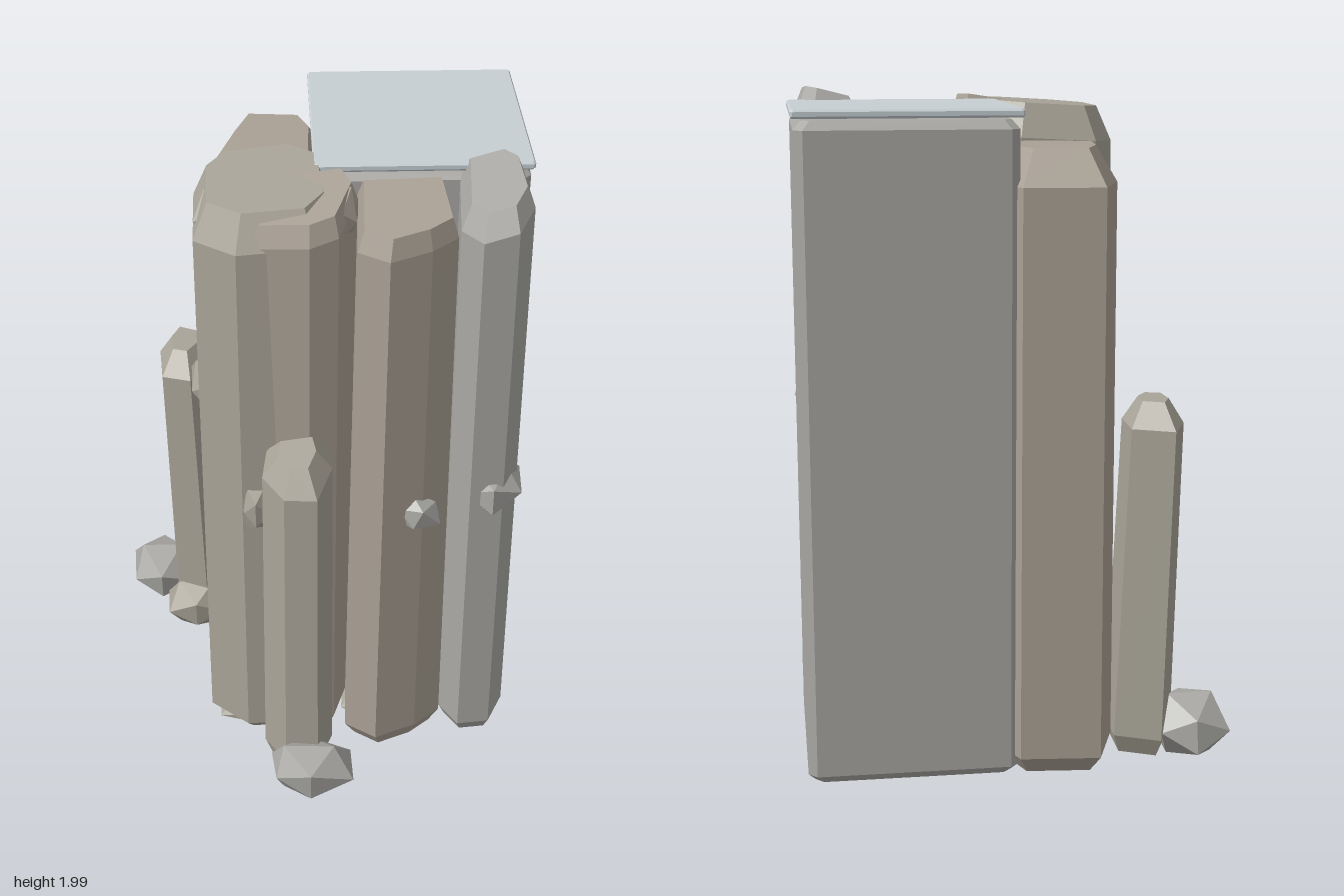
import * as THREE from 'three';
import { ConvexGeometry } from 'three/addons/geometries/ConvexGeometry.js';

const ROCK = 0xa9a498, WARM = 0xaaa195, GREY = 0xa9a8a4, GLASS = 0xc6cfd3;

function addMesh(group, name, geometry, color) {
  const material = new THREE.MeshStandardMaterial({ flatShading: true });
  material.color.set(color);
  const mesh = new THREE.Mesh(geometry, material);
  mesh.name = name;
  group.add(mesh);
  return mesh;
}

// Faceted prism: an [x, z] outline with chamfered ends; the top may lean, shrink and tilt.
function prism(outline, y0, y1, o = {}) {
  const { bevelTop = 0.08, bevelBase = 0.06, insetTop = 0.75, insetBase = 0.8,
    taper = 0.96, lean = [0, 0], tilt = [0, 0] } = o;
  const n = outline.length;
  const cx = outline.reduce((s, p) => s + p[0], 0) / n;
  const cz = outline.reduce((s, p) => s + p[1], 0) / n;
  const points = [];
  const ring = (y, scale, shift, slope) => {
    for (const [x, z] of outline) {
      const dx = (x - cx) * scale, dz = (z - cz) * scale;
      points.push(new THREE.Vector3(cx + dx + lean[0] * shift,
        y + (dx * tilt[0] + dz * tilt[1]) * slope, cz + dz + lean[1] * shift));
    }
  };
  ring(y0, insetBase, 0, 0);
  ring(y0 + bevelBase, 1, 0, 0);
  ring(y1 - bevelTop, taper, 1, 1);
  ring(y1, insetTop, 1, 1);
  return new ConvexGeometry(points);
}

// Chamfered square outline
function square(x0, x1, z0, z1, c) {
  return [[x0 + c, z0], [x1 - c, z0], [x1, z0 + c], [x1, z1 - c],
    [x1 - c, z1], [x0 + c, z1], [x0, z1 - c], [x0, z0 + c]];
}

// Irregular low-poly boulder
function boulder(group, name, position, size, seed, color = ROCK, turn = [0, 0, 0]) {
  const geometry = new THREE.IcosahedronGeometry(1, 0);
  const p = geometry.attributes.position, v = new THREE.Vector3();
  for (let i = 0; i < p.count; i++) {
    v.fromBufferAttribute(p, i);
    const k = 1 + 0.13 * Math.sin(seed * 7 + v.x * 5 + v.y * 11 + v.z * 17);
    v.multiplyScalar(k);
    p.setXYZ(i, v.x * size[0], v.y * size[1], v.z * size[2]);
  }
  geometry.computeVertexNormals();
  const mesh = addMesh(group, name, geometry, color);
  mesh.position.set(...position);
  mesh.rotation.set(...turn);
}

export function createModel() {
  const model = new THREE.Group();
  model.name = 'rockPillar';

  // Square core block and the thin slab lying on it
  addMesh(model, 'coreBlock', prism(square(0.01, 0.618, -0.605, 0.01, 0.025), 0.055, 1.93,
    { bevelTop: 0.025, bevelBase: 0.025, taper: 1, insetTop: 0.93, insetBase: 0.93 }), GREY);
  addMesh(model, 'topSlab', prism(square(0, 0.625, -0.612, 0.017, 0.006), 1.936, 1.96,
    { bevelTop: 0.006, bevelBase: 0.006, taper: 1, insetTop: 0.985, insetBase: 0.985 }), GLASS);

  // Tall and short stone columns: name, outline, base, top, shape, colour
  const columns = [
    ['backLeftColumn', [[-0.22, -0.645], [0.01, -0.625], [0.06, -0.5], [0.05, -0.22], [-0.02, -0.155],
      [-0.19, -0.17], [-0.31, -0.22], [-0.285, -0.46]], 0.05, 1.85,
    { taper: 0.98, insetTop: 0.65, bevelTop: 0.1 }, WARM],
    ['leftColumn', [[-0.345, -0.06], [-0.28, -0.16], [-0.05, -0.185], [0.05, -0.1], [0.07, 0.2],
      [0.0, 0.31], [-0.22, 0.32], [-0.34, 0.22]], 0.03, 1.95,
    { taper: 0.98, insetTop: 0.78, bevelTop: 0.1, tilt: [0.06, 0] }, ROCK],
    ['middleColumn', [[-0.14, 0.02], [0.09, 0.03], [0.12, 0.12], [0.06, 0.3], [-0.02, 0.33],
      [-0.18, 0.29]], 0.04, 1.95,
    { lean: [0, 0.01], taper: 1, insetTop: 0.85, bevelTop: 0.06, tilt: [0.15, -0.08] }, WARM],
    ['frontColumn', [[0.11, 0.0], [0.39, 0.0], [0.405, 0.28], [0.32, 0.35], [0.19, 0.405],
      [0.095, 0.34]], 0.04, 1.915,
    { taper: 0.9, insetTop: 0.78, bevelTop: 0.06, lean: [0, -0.02], tilt: [0.03, -0.04] }, WARM],
    ['frontLeftColumn', [[0.43, -0.04], [0.56, -0.05], [0.605, 0.02], [0.615, 0.24], [0.56, 0.35],
      [0.46, 0.36], [0.405, 0.27]], 0.05, 1.975,
    { taper: 0.96, insetTop: 0.72, bevelTop: 0.06, lean: [-0.015, -0.01], tilt: [0.25, -0.08] }, GREY],
    ['shortFrontColumn', [[-0.15, 0.3], [0.03, 0.29], [0.05, 0.4], [0.0, 0.525], [-0.1, 0.51],
      [-0.165, 0.41]], 0.05, 1.25,
    { taper: 0.94, insetTop: 0.5, bevelTop: 0.07, tilt: [0.1, -0.2] }, ROCK],
    ['shortLeftColumn', [[-0.42, -0.55], [-0.29, -0.49], [-0.29, -0.33], [-0.36, -0.22], [-0.46, -0.25],
      [-0.475, -0.42]], 0.05, 1.12,
    { taper: 0.9, insetTop: 0.45, bevelTop: 0.07, lean: [-0.025, -0.03] }, ROCK],
  ];
  for (const [name, outline, y0, y1, shape, color] of columns) {
    addMesh(model, name, prism(outline, y0, y1, shape), color);
  }

  // Boulders round the foot
  boulder(model, 'frontBoulder', [-0.025, 0.12, 0.54], [0.14, 0.095, 0.11], 1, GREY);
  boulder(model, 'leftBoulder', [-0.525, 0.125, -0.45], [0.115, 0.1, 0.15], 2, GREY);
  boulder(model, 'leftFrontBoulder', [-0.4, 0.125, -0.25], [0.105, 0.1, 0.1], 3);

  // Flat stones under the columns
  boulder(model, 'footStone', [-0.12, 0.07, 0.16], [0.2, 0.065, 0.17], 4);
  boulder(model, 'footStone', [-0.1, 0.08, -0.36], [0.17, 0.065, 0.2], 5);
  boulder(model, 'footStone', [0.22, 0.09, 0.16], [0.15, 0.06, 0.17], 6);
  boulder(model, 'footStone', [-0.27, 0.09, -0.08], [0.09, 0.06, 0.12], 7);

  // Chips jutting out of the columns and loose pieces on top
  boulder(model, 'frontLeftChip', [0.52, 1.03, 0.26], [0.105, 0.075, 0.12], 8, GREY);
  boulder(model, 'frontChip', [0.3, 0.97, 0.32], [0.08, 0.06, 0.06], 9, GREY, [0, 0, -0.4]);
  boulder(model, 'middleChip', [-0.18, 0.98, 0.31], [0.045, 0.08, 0.05], 10);
  boulder(model, 'leftChip', [-0.325, 1.27, 0.05], [0.045, 0.07, 0.12], 11);
  boulder(model, 'topStone', [0.07, 1.89, 0.16], [0.05, 0.08, 0.11], 12, WARM);
  boulder(model, 'topStone', [-0.27, 1.86, 0.08], [0.07, 0.08, 0.12], 13);
  return model;
}
